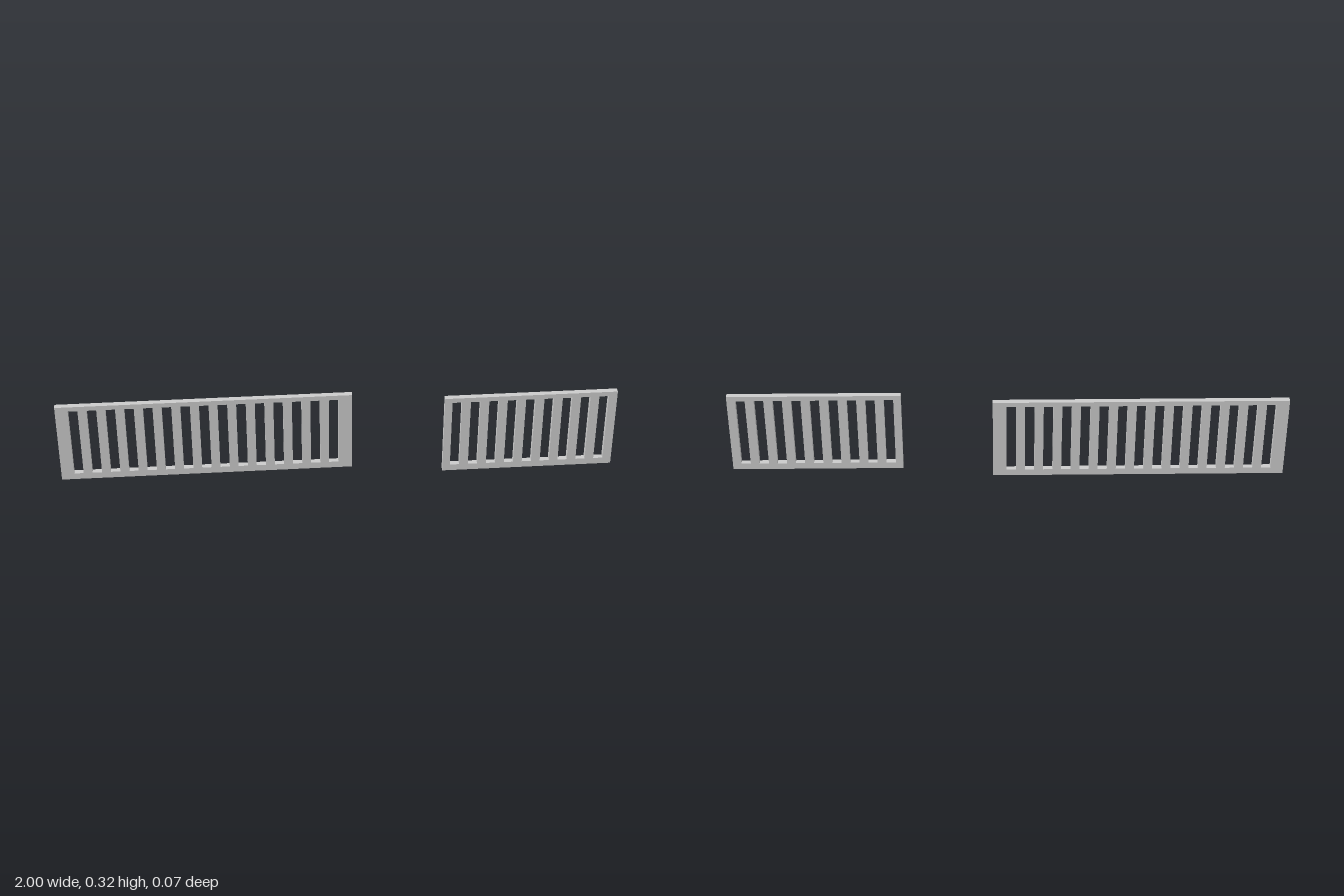
import * as THREE from 'three';

const HEIGHT = 0.316, DEPTH = 0.02;
const SLOT = { width: 0.034, pitch: 0.066, bottom: 0.025, top: 0.298 };

function rectangle(target, x0, y0, x1, y1) {
  target.moveTo(x0, y0);
  target.lineTo(x1, y0);
  target.lineTo(x1, y1);
  target.lineTo(x0, y1);
  target.closePath();
  return target;
}

// Flat panel pierced by a row of evenly spaced upright slots
function slottedPanel(name, x0, x1, firstSlot, slotCount, zBack, material) {
  const shape = rectangle(new THREE.Shape(), x0, 0, x1, HEIGHT);
  for (let i = 0; i < slotCount; i++) {
    const x = firstSlot + i * SLOT.pitch;
    shape.holes.push(rectangle(new THREE.Path(), x, SLOT.bottom, x + SLOT.width, SLOT.top));
  }
  const geometry = new THREE.ExtrudeGeometry(shape, { depth: DEPTH, bevelEnabled: false });
  const mesh = new THREE.Mesh(geometry, material);
  mesh.name = name;
  mesh.position.z = zBack;
  return mesh;
}

export function createModel() {
  const group = new THREE.Group();
  group.name = 'slottedPanels';
  const material = new THREE.MeshStandardMaterial({ color: 0xcccccc });

  // Long panel at the back right, short panel at the front left
  group.add(slottedPanel('longPanel', -1, 0.053, -0.954, 15, -0.035, material));
  group.add(slottedPanel('shortPanel', 0.38, 1, 0.407, 9, 0.015, material));
  return group;
}
